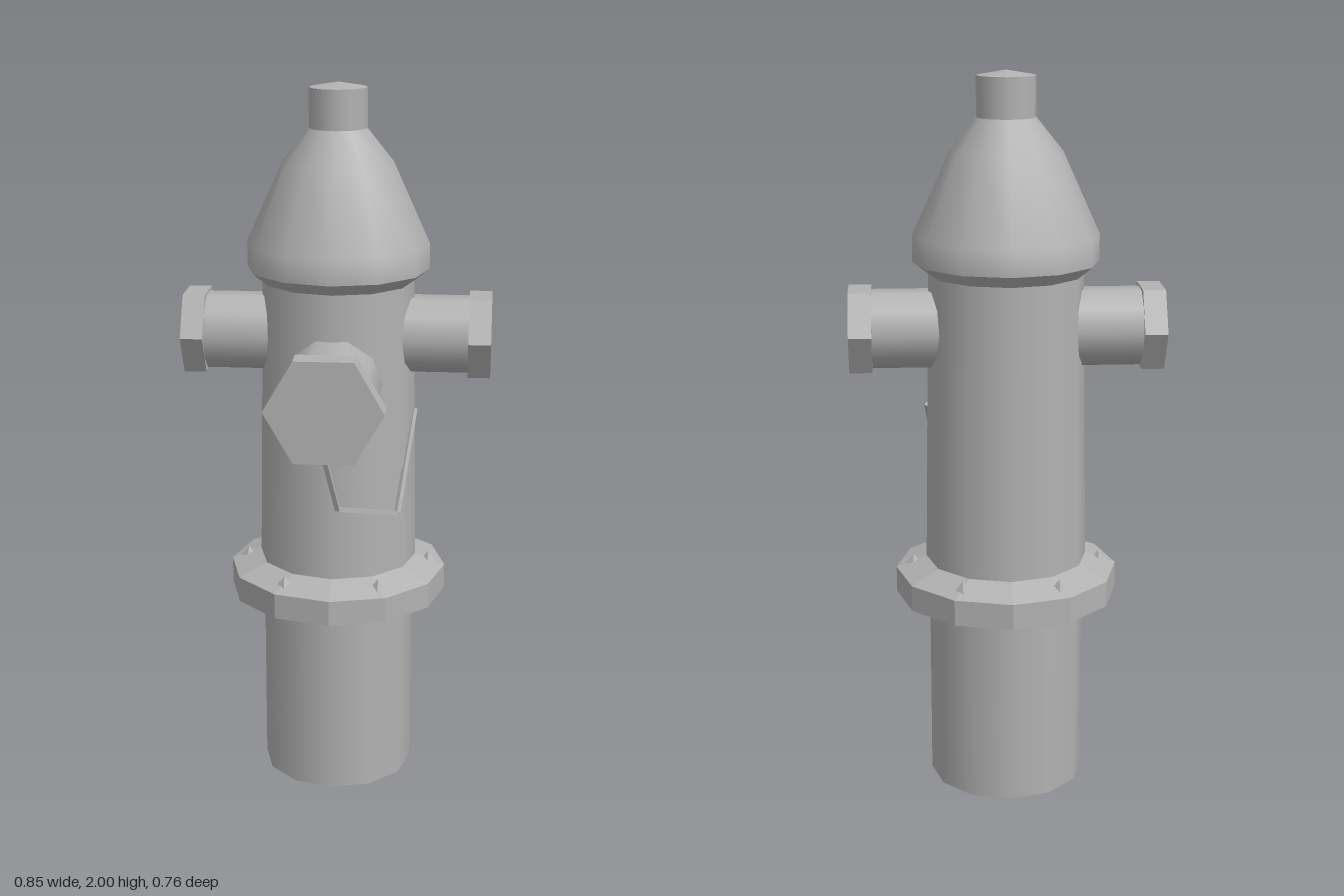
import * as THREE from 'three';

const SIDES = 12;

export function createModel() {
  const model = new THREE.Group();
  model.name = 'hydrant';
  const iron = new THREE.MeshStandardMaterial({ color: 0xb2b2b2, side: THREE.DoubleSide });
  iron.name = 'grey iron';

  const add = (parent, name, geometry) => {
    const mesh = new THREE.Mesh(geometry, iron);
    mesh.name = name;
    parent.add(mesh);
    return mesh;
  };
  // Turned part from [radius, height] pairs, listed upwards
  const turned = (profile) =>
    new THREE.LatheGeometry(profile.map(([r, y]) => new THREE.Vector2(r, y)), SIDES);
  const faceted = (geometry) => {
    const flat = geometry.toNonIndexed();
    flat.computeVertexNormals();
    return flat;
  };

  // Main column
  add(model, 'standpipe', turned([[0.216, 0], [0.216, 0.56]]));
  add(model, 'barrel', turned([[0.225, 0.64], [0.211, 1.47]]));

  // Ground flange with six pointed bolts
  add(model, 'flange', faceted(turned([[0.21, 0.55], [0.31, 0.55], [0.31, 0.622], [0.222, 0.656]])));
  for (let i = 0; i < 6; i++) {
    const a = (i * Math.PI) / 3;
    const bolt = add(model, 'flangeBolt', faceted(new THREE.ConeGeometry(0.037, 0.045, 4)));
    bolt.position.set(0.262 * Math.cos(a), 0.638, 0.262 * Math.sin(a));
  }

  // Bonnet with its skirt, and the operating nut on top
  add(model, 'bonnetUnderside', turned([[0.21, 1.46], [0.253, 1.495]]));
  add(model, 'bonnet', turned([[0.253, 1.495], [0.253, 1.565], [0.152, 1.788], [0.078, 1.88]]));
  add(model, 'operatingNut', turned([[0.08, 1.87], [0.08, 1.986]]));
  add(model, 'operatingNutTop', turned([[0.08, 1.986], [0, 2]]));

  // Outlets, built along +x and turned into place
  const outlet = (name, pipeRadius, hexRadius, y, capStart, capEnd, turn) => {
    const group = new THREE.Group();
    group.name = name;
    const start = 0.12;
    const pipe = new THREE.CylinderGeometry(pipeRadius, pipeRadius, capStart - start, 10, 1, true);
    pipe.rotateZ(-Math.PI / 2).translate((start + capStart) / 2, 0, 0);
    add(group, name + 'Pipe', pipe);
    const cap = new THREE.CylinderGeometry(hexRadius, hexRadius, capEnd - capStart, 6);
    cap.rotateZ(-Math.PI / 2).translate((capStart + capEnd) / 2, 0, 0);
    add(group, name + 'Cap', faceted(cap));
    group.position.y = y;
    group.rotation.y = turn;
    model.add(group);
  };
  outlet('leftOutlet', 0.108, 0.126, 1.312, 0.365, 0.427, 0);
  outlet('rightOutlet', 0.108, 0.126, 1.312, 0.365, 0.427, Math.PI);
  outlet('frontOutlet', 0.135, 0.159, 1.205, 0.382, 0.453, -Math.PI / 2);

  // Chain hanging from the front cap to the barrel
  const chain = new THREE.Group();
  chain.name = 'chain';
  const points = [
    [0, 1.08, 0.432], [0.03, 0.915, 0.368], [0.18, 0.842, 0.183], [0.217, 1.095, 0.008],
  ].map((p) => new THREE.Vector3(...p));
  for (let i = 0; i < 3; i++) {
    const along = points[i + 1].clone().sub(points[i]);
    const link = add(chain, 'chainLink', faceted(new THREE.CylinderGeometry(0.009, 0.009, along.length(), 4)));
    link.position.copy(points[i]).addScaledVector(along, 0.5);
    link.quaternion.setFromUnitVectors(new THREE.Vector3(0, 1, 0), along.normalize());
  }
  model.add(chain);

  // The column sits behind the middle, balancing the front outlet
  for (const part of model.children) part.position.z -= 0.073;
  return model;
}
